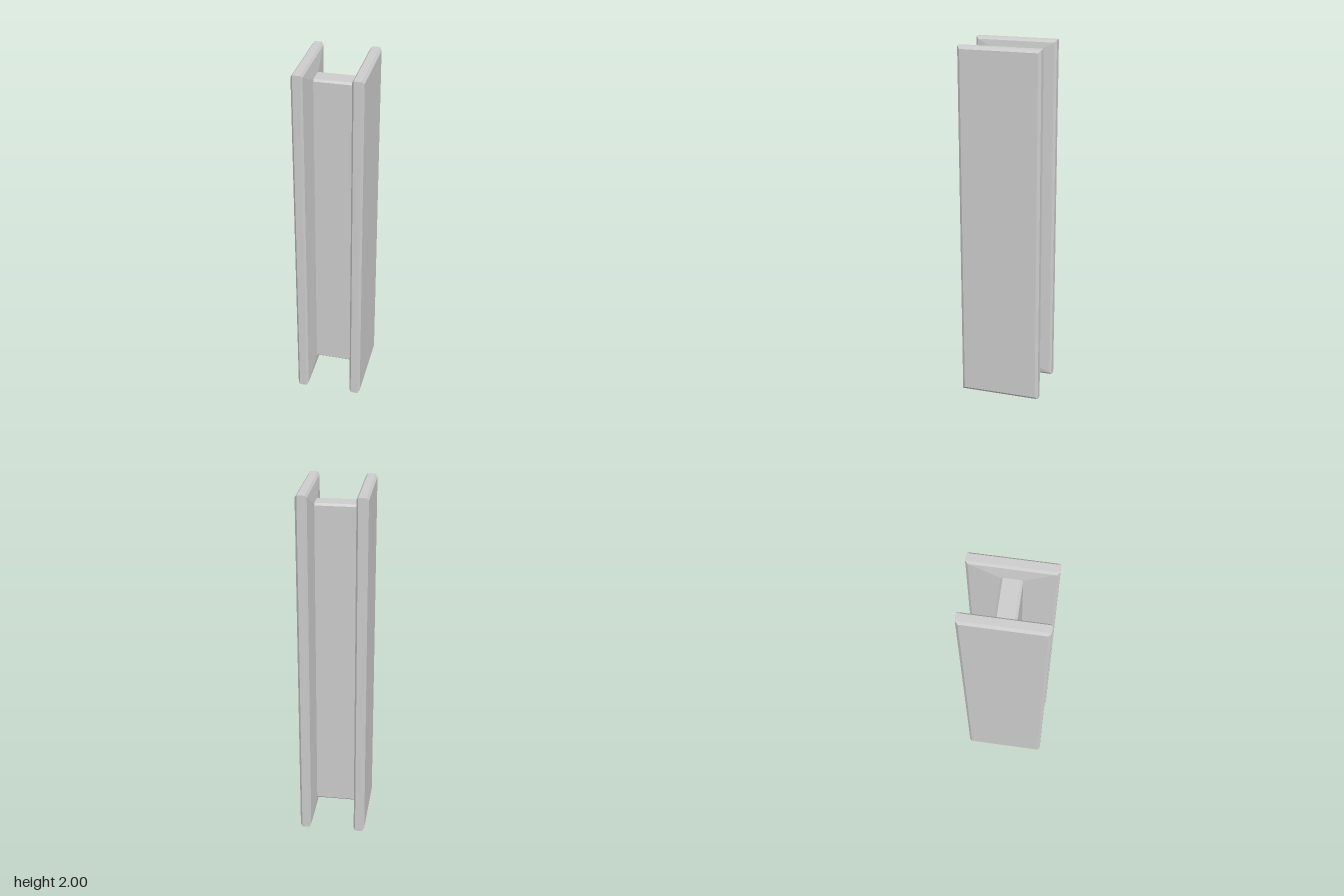
import * as THREE from 'three';

const material = new THREE.MeshStandardMaterial({ color: 0xcccccc, flatShading: true });

// Joins matching loops of [x, y, z] points, ordered along +x, and caps both ends
function loft(loops) {
  const n = loops[0].length;
  const positions = [];
  const tri = (a, b, c) => positions.push(...a, ...b, ...c);
  for (let i = 0; i < loops.length - 1; i++) {
    for (let k = 0; k < n; k++) {
      const j = (k + 1) % n;
      tri(loops[i][k], loops[i][j], loops[i + 1][j]);
      tri(loops[i][k], loops[i + 1][j], loops[i + 1][k]);
    }
  }
  const first = loops[0], last = loops[loops.length - 1];
  for (let k = 1; k < n - 1; k++) {
    tri(first[0], first[k + 1], first[k]);
    tri(last[0], last[k], last[k + 1]);
  }
  const geometry = new THREE.BufferGeometry();
  geometry.setAttribute('position', new THREE.Float32BufferAttribute(positions, 3));
  geometry.computeVertexNormals();
  return geometry;
}

// Rectangle across x with half sizes h (y) and w (z)
const rectangle = ([x, h, w]) => [[x, -h, -w], [x, h, -w], [x, h, w], [x, -h, w]];

// Rectangle with its four corners cut by c
const cutRectangle = (x, h, w, c) => [
  [x, -h, -w + c], [x, -h + c, -w], [x, h - c, -w], [x, h, -w + c],
  [x, h, w - c], [x, h - c, w], [x, -h + c, w], [x, -h, w - c],
];

export function createModel() {
  const group = new THREE.Group();
  group.name = 'beam';

  // Flanges: sloping inner face, bevelled rim, flat outer face
  const flangeGeometry = loft([
    [0.113, 0.907, 0.055],
    [0.125, 0.987, 0.213],
    [0.135, 1, 0.226],
    [0.175, 1, 0.226],
    [0.187, 0.985, 0.211],
  ].map(rectangle));
  for (const side of ['left', 'right']) {
    const flange = new THREE.Mesh(flangeGeometry, material);
    flange.name = side + 'Flange';
    flange.position.y = 1;
    if (side === 'right') flange.rotation.y = Math.PI;
    group.add(flange);
  }

  // Web: shorter bar with chamfered edges joining the flanges
  const web = new THREE.Mesh(
    loft([-0.115, 0.115].map((x) => cutRectangle(x, 0.909, 0.055, 0.011))),
    material,
  );
  web.name = 'web';
  web.position.y = 1;
  group.add(web);

  return group;
}
